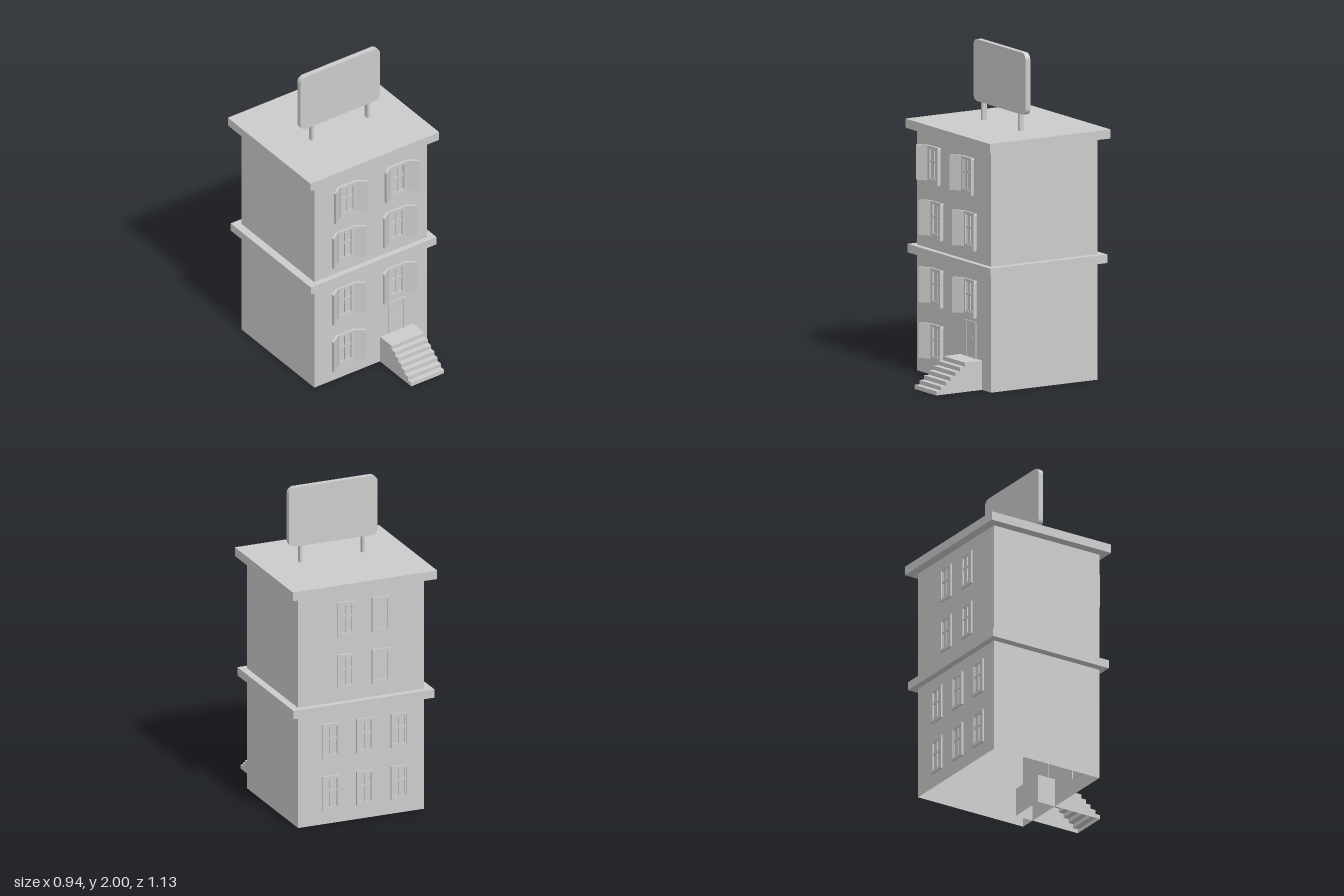
import * as THREE from 'three';

const material = new THREE.MeshStandardMaterial({ color: 0xcccccc, flatShading: true });
const hollowMaterial = material.clone();
hollowMaterial.side = THREE.DoubleSide;

function add(parent, name, geometry, mat = material) {
  const mesh = new THREE.Mesh(geometry, mat);
  mesh.name = name;
  parent.add(mesh);
  return mesh;
}

// Box given by its limits on each axis
function box(parent, name, [x0, x1], [y0, y1], [z0, z1]) {
  const g = new THREE.BoxGeometry(x1 - x0, y1 - y0, z1 - z0);
  g.translate((x0 + x1) / 2, (y0 + y1) / 2, (z0 + z1) / 2);
  return add(parent, name, g);
}

// Drops the triangles lying on the ground, leaving a hollow shell
function openBottom(geometry) {
  const src = geometry.index ? geometry.toNonIndexed() : geometry;
  const p = src.attributes.position;
  const kept = [];
  for (let i = 0; i < p.count; i += 3) {
    if ([0, 1, 2].every((k) => Math.abs(p.getY(i + k)) < 1e-5)) continue;
    for (let k = 0; k < 3; k++) kept.push(p.getX(i + k), p.getY(i + k), p.getZ(i + k));
  }
  const g = new THREE.BufferGeometry();
  g.setAttribute('position', new THREE.Float32BufferAttribute(kept, 3));
  g.computeVertexNormals();
  return g;
}

const polygon = (pts) => new THREE.Shape(pts.map(([x, y]) => new THREE.Vector2(x, y)));
const rect = (x0, x1, y0, y1) => polygon([[x0, y0], [x1, y0], [x1, y1], [x0, y1]]);
const extrude = (shape, depth, curveSegments = 6) =>
  new THREE.ExtrudeGeometry(shape, { depth, bevelEnabled: false, curveSegments });

const W = 0.056;  // half window width
const H = 0.107;  // half window height

// Window facing +z, centred on its origin, with optional angled shutters
function makeWindow(name, shutters) {
  const win = new THREE.Group();
  win.name = name;

  const frame = rect(-W, W, -H, H);
  frame.holes.push(rect(-W + 0.014, W - 0.014, -H + 0.016, H - 0.014));
  add(win, 'windowFrame', extrude(frame, 0.017).translate(0, 0, -0.005));

  // Sash with two columns and two rows of panes
  const sash = rect(-W + 0.014, W - 0.014, -H + 0.016, H - 0.014);
  for (const [x0, x1] of [[-0.036, -0.006], [0.006, 0.036]])
    for (const [y0, y1] of [[-0.084, 0.008], [0.022, 0.086]])
      sash.holes.push(rect(x0, x1, y0, y1));
  add(win, 'windowSash', extrude(sash, 0.012).translate(0, 0, -0.005));
  box(win, 'windowGlass', [-0.042, 0.042], [-0.091, 0.093], [-0.004, 0.001]);

  if (shutters) for (const s of [-1, 1]) {
    const plan = polygon([[s * 0.055, 0.01], [s * 0.119, -0.035], [s * 0.119, -0.055], [s * 0.055, -0.009]]);
    add(win, s > 0 ? 'leftShutter' : 'rightShutter',
      extrude(plan, 2 * H).rotateX(-Math.PI / 2).translate(0, -H, 0));
  }
  return win;
}

export function createModel() {
  const model = new THREE.Group();
  model.name = 'townHouse';

  // Hollow walls, ledge between floors and flat roof
  add(model, 'walls',
    openBottom(new THREE.BoxGeometry(0.82, 1.47, 0.75).translate(0, 0.735, -0.135)), hollowMaterial);
  box(model, 'middleLedge', [-0.46, 0.456], [0.71, 0.762], [-0.55, 0.275]);
  box(model, 'roofSlab', [-0.47, 0.468], [1.465, 1.52], [-0.565, 0.285]);

  // Front windows; the door takes the place of the lowest left one
  const frontRows = [0.205, 0.543, 0.95, 1.287];
  frontRows.forEach((y, row) => {
    for (const x of [-0.187, 0.183]) {
      if (row === 0 && x > 0) continue;
      const win = makeWindow('frontWindow', true);
      win.position.set(x, y, row === 3 ? 0.26 : 0.24);
      model.add(win);
    }
  });

  // Back windows: three per row below the ledge, two above
  const backRows = [0.195, 0.527, 0.953, 1.283];
  backRows.forEach((y, row) => {
    for (const x of row < 2 ? [0.199, -0.024, -0.247] : [0.099, -0.124]) {
      const win = makeWindow('backWindow', false);
      win.position.set(x, y, -0.51);
      win.rotation.y = Math.PI;
      model.add(win);
    }
  });

  // Door with surround and letter slot
  const surround = rect(0.13, 0.245, 0.178, 0.4);
  surround.holes.push(rect(0.142, 0.233, 0.18, 0.388));
  add(model, 'doorFrame', extrude(surround, 0.012).translate(0, 0, 0.235));
  box(model, 'door', [0.142, 0.233], [0.178, 0.388], [0.235, 0.242]);
  box(model, 'letterSlot', [0.165, 0.21], [0.298, 0.306], [0.24, 0.245]);

  // Hollow stoop: side profile in (z, y), swept across x
  const steps = 7, rise = 0.178 / steps, run = 0.0335;
  const profile = [[0.12, 0], [0.562, 0]];
  for (let i = 0; i < steps; i++) {
    const z = 0.562 - i * run;
    if (i > 0) profile.push([z, i * rise]);
    profile.push([z, (i + 1) * rise]);
  }
  profile.push([0.12, 0.178]);
  const stoop = extrude(polygon(profile), 0.24).rotateY(-Math.PI / 2).translate(0.308, 0, 0);
  add(model, 'frontSteps', openBottom(stoop), hollowMaterial);

  // Blank rooftop board on two posts
  const [x0, x1, y0, y1, r] = [-0.285, 0.292, 1.625, 2, 0.04];
  const board = new THREE.Shape();
  board.absarc(x1 - r, y1 - r, r, 0, Math.PI / 2);
  board.absarc(x0 + r, y1 - r, r, Math.PI / 2, Math.PI);
  board.absarc(x0 + r, y0 + r, r, Math.PI, Math.PI * 1.5);
  board.absarc(x1 - r, y0 + r, r, Math.PI * 1.5, Math.PI * 2);
  add(model, 'roofBoard', extrude(board, 0.034).translate(0, 0, -0.111));
  for (const x of [-0.195, 0.212])
    box(model, 'boardPost', [x - 0.008, x + 0.008], [1.51, 1.64], [-0.109, -0.079]);

  return model;
}
